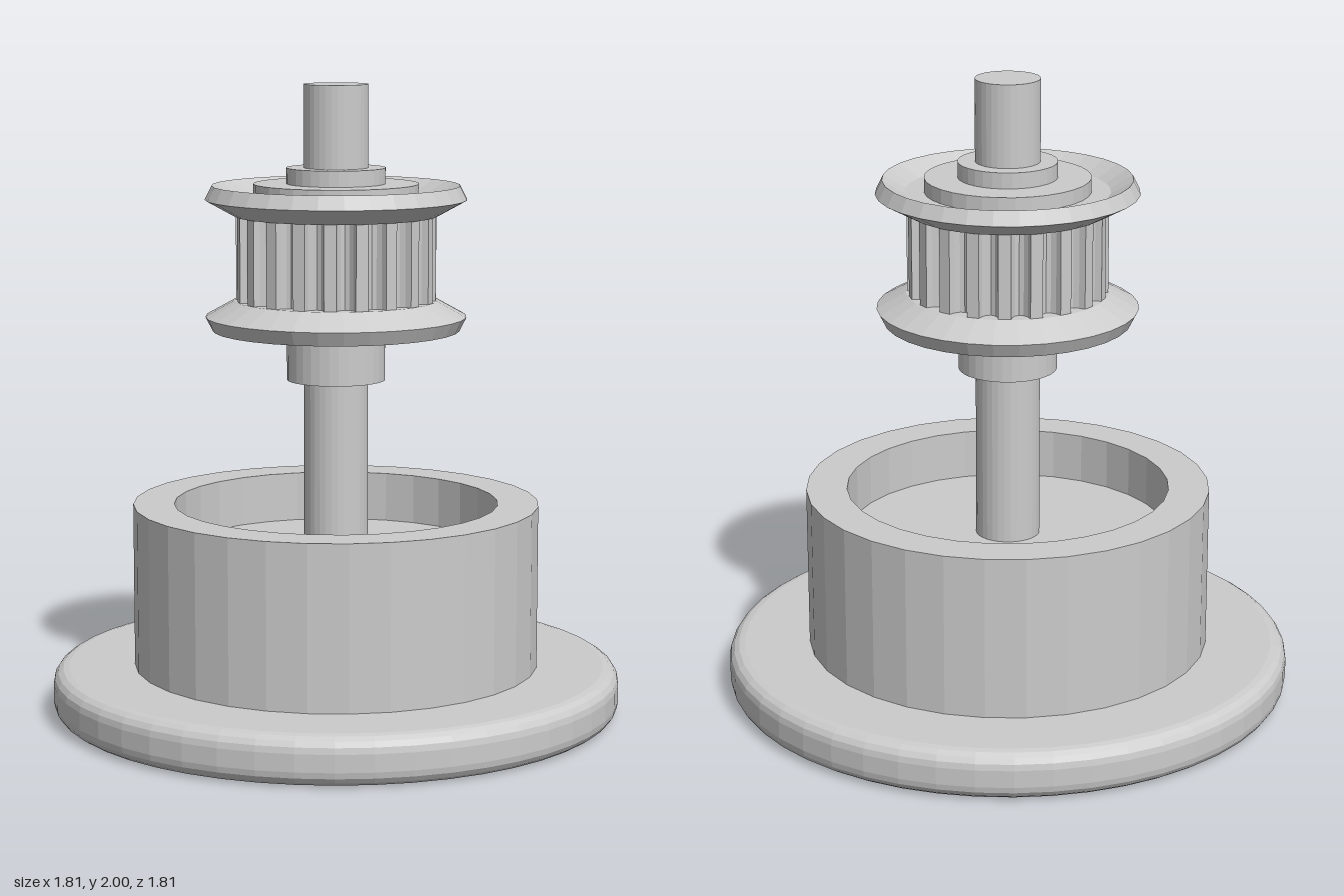
import * as THREE from 'three';

const material = new THREE.MeshStandardMaterial({ color: 0xcccccc, flatShading: true });

function add(group, name, geometry) {
  const mesh = new THREE.Mesh(geometry, material);
  mesh.name = name;
  group.add(mesh);
  return mesh;
}

// Revolve [radius, height] pairs, listed counter-clockwise
function turned(points, sides = 32) {
  return new THREE.LatheGeometry(points.map(([r, y]) => new THREE.Vector2(r, y)), sides);
}

function rod(radius, bottom, top, sides = 32) {
  return new THREE.CylinderGeometry(radius, radius, top - bottom, sides).translate(0, (top + bottom) / 2, 0);
}

// Toothed wheel outline: flat-topped teeth between rounded grooves
function toothedShape(radius, teeth, groove) {
  const shape = new THREE.Shape();
  const half = groove / radius;
  for (let i = 0; i < teeth; i++) {
    const mid = (i + 0.5) / teeth * Math.PI * 2;
    for (let k = 0; k <= 6; k++) {
      const t = k / 6 * Math.PI;
      const a = mid - half * Math.cos(t);
      const r = radius - groove * 1.4 * Math.sin(t);
      if (i + k === 0) shape.moveTo(r * Math.cos(a), r * Math.sin(a));
      else shape.lineTo(r * Math.cos(a), r * Math.sin(a));
    }
  }
  shape.closePath();
  return shape;
}

export function createModel() {
  const model = new THREE.Group();
  model.name = 'pulleySpindle';

  // Round base with softened rim and a bore underneath
  const R = 0.905, H = 0.155, f = 0.05;
  const base = [[0.1, 0]];
  for (const [cy, start] of [[f, -90], [H - f, 0]]) {
    for (let k = 0; k <= 4; k++) {
      const a = THREE.MathUtils.degToRad(start + k * 22.5);
      base.push([R - f + f * Math.cos(a), cy + f * Math.sin(a)]);
    }
  }
  base.push([0.1, H], [0.1, 0]);
  add(model, 'base', turned(base, 48));

  // Drum with a shallow recess in its top
  add(model, 'drum', turned([[0.645, H], [0.645, 0.675], [0.515, 0.675], [0.515, 0.515], [0, 0.515]]));

  // Central shaft
  add(model, 'shaft', rod(0.102, H, 2));

  // Pulley: toothed wheel, two dished flanges, hub plates and collars
  const pulley = new THREE.Group();
  pulley.name = 'pulley';
  model.add(pulley);
  const mid = 1.457, halfWidth = 0.133;
  const wheel = new THREE.ExtrudeGeometry(toothedShape(0.315, 20, 0.03), { depth: halfWidth * 2, bevelEnabled: false });
  wheel.rotateX(-Math.PI / 2).translate(0, mid - halfWidth, 0);
  add(pulley, 'toothedWheel', wheel);

  for (const [side, turn, collarEnd] of [['upper', 0, 0.283], ['lower', Math.PI, 0.387]]) {
    const end = new THREE.Group();
    end.name = side + 'End';
    end.position.y = mid;
    end.rotation.x = turn;
    add(end, side + 'Flange', turned([
      [0, 0.133], [0.32, 0.133], [0.412, 0.184], [0.39, 0.228], [0.32, 0.188], [0, 0.188],
    ]));
    add(end, side + 'HubPlate', rod(0.26, 0.15, 0.233));
    add(end, side + 'Collar', rod(0.156, 0.2, collarEnd));
    pulley.add(end);
  }

  return model;
}
